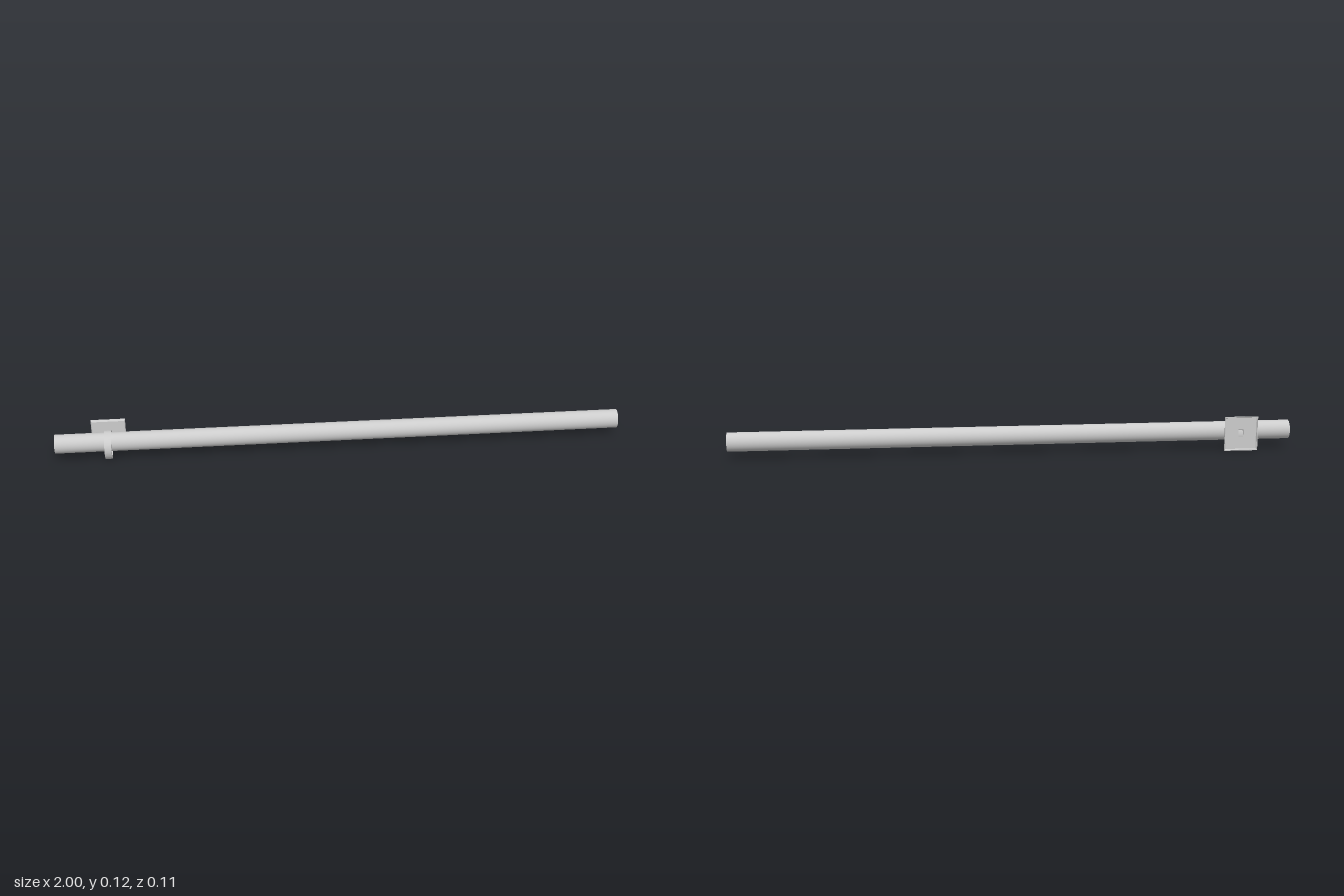
import * as THREE from 'three';

const material = new THREE.MeshStandardMaterial({ color: 0xcccccc });
const thin = new THREE.MeshStandardMaterial({ color: 0xcccccc, side: THREE.DoubleSide });

function part(name, geometry, mat = material) {
  const mesh = new THREE.Mesh(geometry, mat);
  mesh.name = name;
  return mesh;
}

// Skin through rectangles given as [half width, half height, z]
function rectLoops(loops) {
  const pos = [];
  const corner = ([w, h, z], i) => [[w, h, z], [-w, h, z], [-w, -h, z], [w, -h, z]][i % 4];
  for (let k = 0; k < loops.length - 1; k++) {
    for (let i = 0; i < 4; i++) {
      const a = corner(loops[k], i), b = corner(loops[k], i + 1);
      const c = corner(loops[k + 1], i + 1), d = corner(loops[k + 1], i);
      pos.push(...a, ...b, ...c, ...a, ...c, ...d);
    }
  }
  const g = new THREE.BufferGeometry();
  g.setAttribute('position', new THREE.Float32BufferAttribute(pos, 3));
  g.computeVertexNormals();
  return g;
}

export function createModel() {
  const group = new THREE.Group();

  // Long pole, very slightly sloping
  const start = new THREE.Vector3(-1, 0.066, 0.001);
  const end = new THREE.Vector3(1, 0.062, 0.002);
  const rodGeometry = new THREE.CylinderGeometry(0.034, 0.034, start.distanceTo(end), 48);
  rodGeometry.scale(0.99, 1, 0.93);
  const rod = part('pole', rodGeometry);
  rod.position.copy(start).add(end).multiplyScalar(0.5);
  rod.quaternion.setFromUnitVectors(new THREE.Vector3(0, 1, 0), end.clone().sub(start).normalize());
  group.add(rod);

  const bracket = new THREE.Group();
  bracket.name = 'wallBracket';
  bracket.position.set(-0.815, 0, 0);
  group.add(bracket);

  // Flat band ring around the pole
  const ro = 0.05, ri = 0.039, w = 0.012;
  const shape = new THREE.Shape().absarc(0, 0, ro, 0, Math.PI * 2, false);
  shape.holes.push(new THREE.Path().absarc(0, 0, ri, 0, Math.PI * 2, true));
  const ringGeometry = new THREE.ExtrudeGeometry(shape, { depth: 2 * w, bevelEnabled: false, curveSegments: 48 });
  ringGeometry.translate(0, 0, -w);
  ringGeometry.rotateY(Math.PI / 2);
  const ring = part('ring', ringGeometry);
  ring.position.set(0, 0.0562, 0.005);
  bracket.add(ring);

  // Pressed square plate: hollow behind, rounded rim, slot in the middle
  const plate = part('backPlate', rectLoops([
    [0.0575, 0.0585, -0.054], [0.06, 0.0615, -0.054], [0.06, 0.0615, -0.050],
    [0.0588, 0.060, -0.0465], [0.056, 0.057, -0.0445],
    [0.009, 0.014, -0.0445], [0.009, 0.014, -0.0475],
    [0.055, 0.056, -0.0475], [0.0575, 0.0585, -0.050], [0.0575, 0.0585, -0.054],
  ]), thin);
  plate.position.y = 0.0635;
  bracket.add(plate);

  // Short flared sleeve joining the plate to the ring
  const neck = part('neck', rectLoops([
    [0.012, 0.018, -0.0445], [0.012, 0.013, -0.041], [0.012, 0.012, -0.037],
    [0.009, 0.010, -0.037], [0.009, 0.014, -0.0445],
  ]), thin);
  neck.position.y = 0.06;
  bracket.add(neck);

  return group;
}
